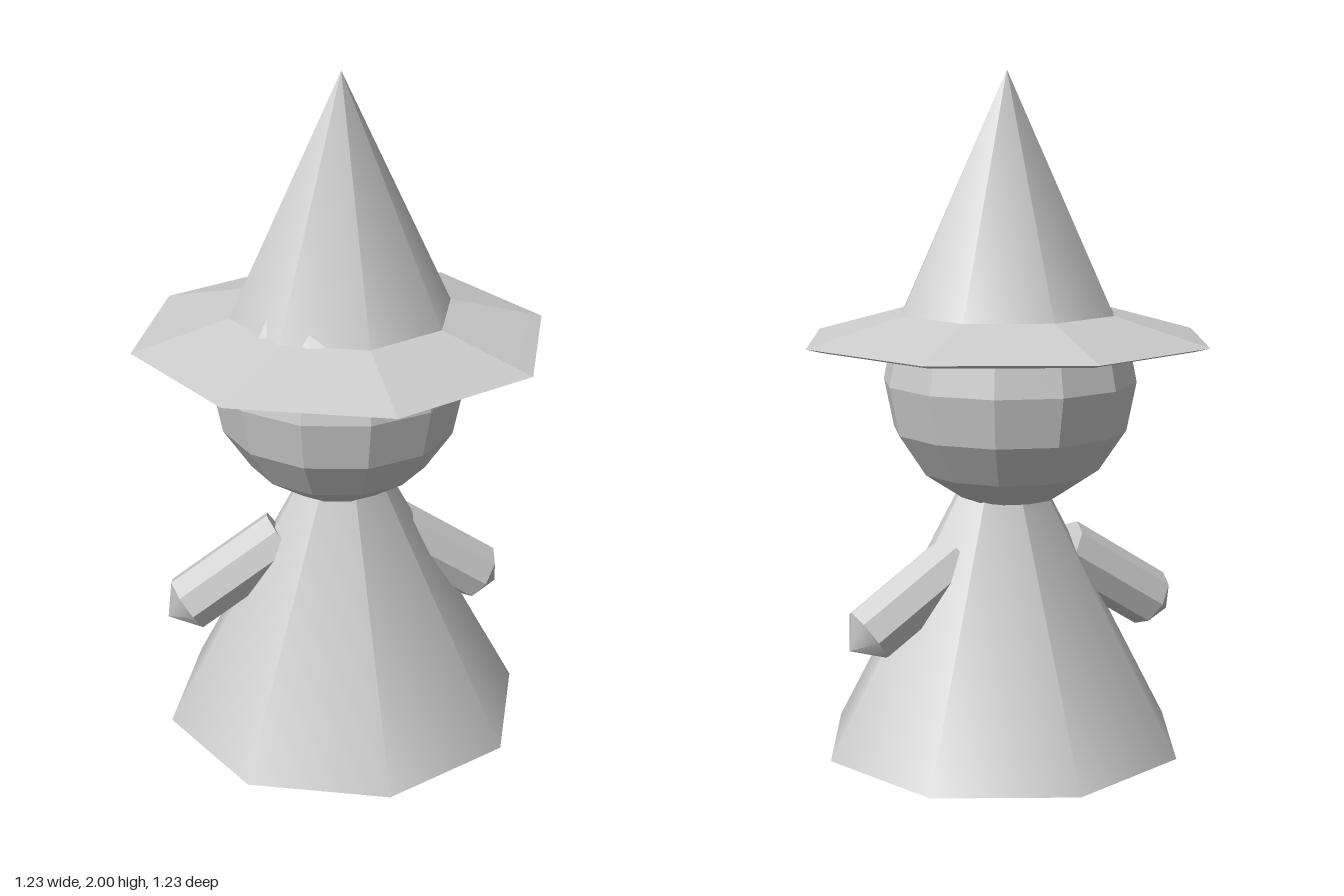
import * as THREE from 'three';

const material = (flatShading = false) =>
  new THREE.MeshStandardMaterial({ color: 0xcccccc, flatShading });
const smooth = material();
const faceted = material(true);

function addPart(parent, name, geometry, mat, x = 0, y = 0, z = 0) {
  const mesh = new THREE.Mesh(geometry, mat);
  mesh.name = name;
  mesh.position.set(x, y, z);
  parent.add(mesh);
  return mesh;
}

// Eight-sided sleeve from shoulder to wrist, with a pointed hand at the end
function createArm(name, shoulder, wrist) {
  const arm = new THREE.Group();
  arm.name = name;
  const along = new THREE.Vector3().subVectors(wrist, shoulder);
  const length = along.length();
  const radius = 0.09, handLength = 0.072;
  addPart(arm, 'sleeve', new THREE.CylinderGeometry(radius, radius, length, 8), faceted, 0, length / 2, 0);
  addPart(arm, 'hand', new THREE.ConeGeometry(radius, handLength, 8), smooth, 0, length + handLength / 2, 0);
  arm.position.copy(shoulder);
  arm.quaternion.setFromUnitVectors(new THREE.Vector3(0, 1, 0), along.normalize());
  return arm;
}

export function createModel() {
  const model = new THREE.Group();
  model.name = 'hattedFigure';

  // Robe: a tall cone whose tip is hidden in the head
  const robeHeight = 1.03;
  addPart(model, 'robe', new THREE.ConeGeometry(0.55, robeHeight, 8), smooth, 0.005, robeHeight / 2, 0.02);

  // Head
  addPart(model, 'head', new THREE.SphereGeometry(0.375, 12, 8), faceted, -0.01, 1.1, 0.005);

  // Arms
  const v = (x, y) => new THREE.Vector3(x, y, -0.01);
  model.add(createArm('rightArm', v(-0.18, 0.58), v(-0.477, 0.39)));
  model.add(createArm('leftArm', v(0.156, 0.578), v(0.443, 0.378)));

  // Hat: sloping brim with a thin underside, and a pointed crown
  const hat = new THREE.Group();
  hat.name = 'hat';
  const brimProfile = [[0, 1.213], [0.57, 1.213], [0.615, 1.225], [0.57, 1.238], [0.3, 1.313]]
    .map(([r, y]) => new THREE.Vector2(r, y));
  addPart(hat, 'brim', new THREE.LatheGeometry(brimProfile, 8), faceted);
  const crownBase = 1.22;
  const crownHeight = 2 - crownBase;
  addPart(hat, 'crown', new THREE.ConeGeometry(0.37, crownHeight, 8), smooth, 0, crownBase + crownHeight / 2, 0);
  model.add(hat);

  return model;
}
